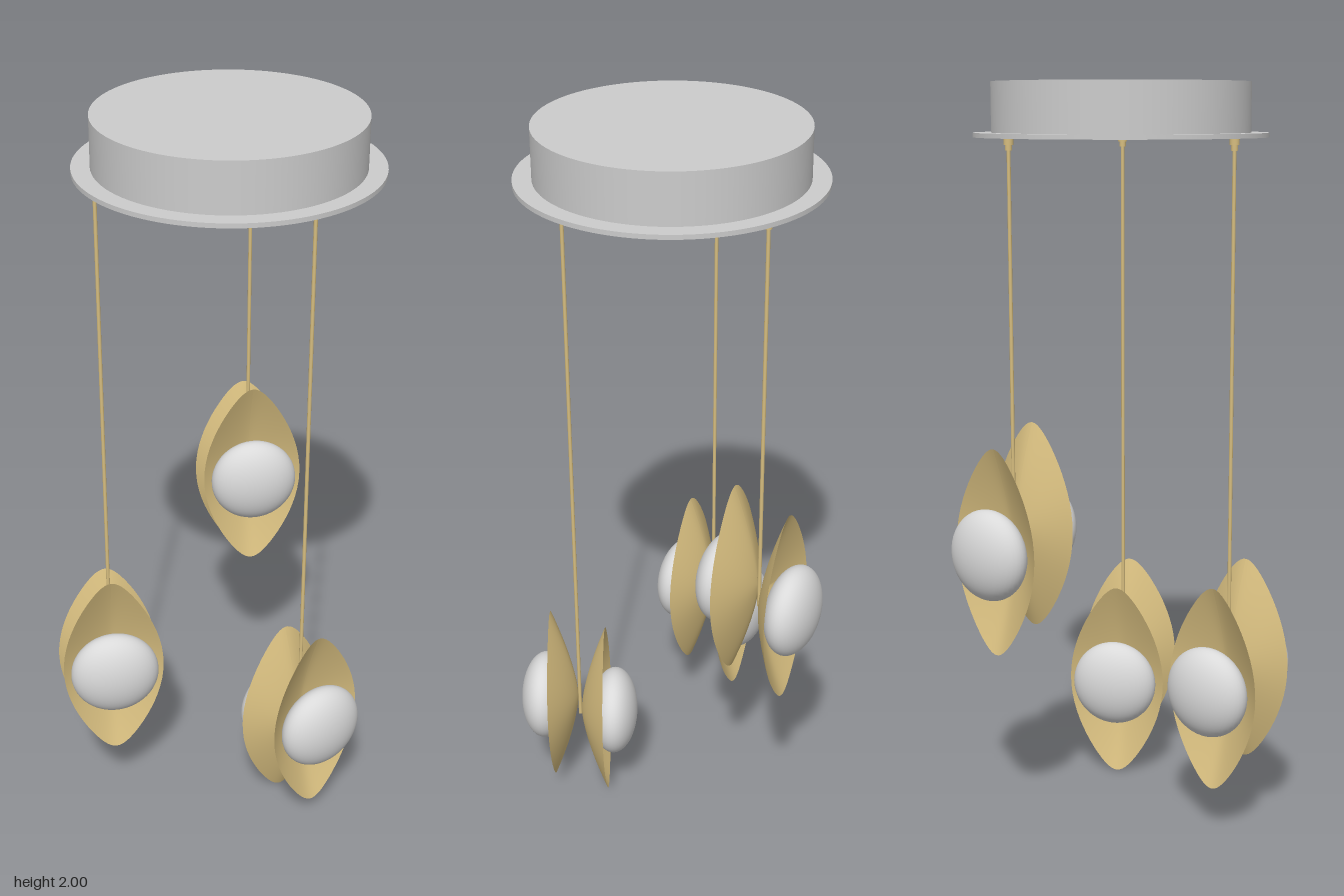
import * as THREE from 'three';

const metal = new THREE.MeshStandardMaterial({ color: 0xcccccc });
metal.name = 'canopyGrey';
const glass = new THREE.MeshStandardMaterial({ color: 0xd9d9d9 });
glass.name = 'lampWhite';
const gold = new THREE.MeshStandardMaterial({ color: 0xd6bd7f, side: THREE.DoubleSide });
gold.name = 'satinGold';

function add(parent, name, geometry, material, x = 0, y = 0, z = 0) {
  const mesh = new THREE.Mesh(geometry, material);
  mesh.name = name;
  mesh.position.set(x, y, z);
  parent.add(mesh);
  return mesh;
}

// Leaf-shaped dish: concentric leaf outlines rising towards +z
function leafDish(halfWidth, halfHeight, depth, rings = 14, segments = 64) {
  const pos = [], index = [];
  for (let i = 0; i <= rings; i++) {
    const s = i / rings;
    for (let j = 0; j <= segments; j++) {
      const a = (j / segments) * Math.PI * 2;
      const c = Math.cos(a);
      pos.push(
        halfWidth * s * Math.sin(a) * (1 - 0.37 * c * c),
        halfHeight * s * c,
        depth * Math.pow(s, 1.5)
      );
      if (i < rings && j < segments) {
        const p = i * (segments + 1) + j, q = p + segments + 1;
        if (i > 0) index.push(p, p + 1, q);
        index.push(p + 1, q + 1, q);
      }
    }
  }
  // Wind the faces so the hollow side is the front
  for (let k = 0; k < index.length; k += 3) {
    [index[k + 1], index[k + 2]] = [index[k + 2], index[k + 1]];
  }
  const g = new THREE.BufferGeometry();
  g.setAttribute('position', new THREE.Float32BufferAttribute(pos, 3));
  g.setIndex(index);
  g.computeVertexNormals();
  return g;
}

const dishGeometry = leafDish(0.14, 0.28, 0.072);
const bulbGeometry = new THREE.SphereGeometry(0.122, 40, 28).scale(1, 1, 0.54);
const holderGeometry = new THREE.CylinderGeometry(0.11, 0.05, 0.06, 40).rotateX(Math.PI / 2);

// One dish with its flattened lamp, facing +z
function lampHalf(name) {
  const half = new THREE.Group();
  half.name = name;
  add(half, 'leafShade', dishGeometry, gold, 0, 0, 0.004);
  add(half, 'lampHolder', holderGeometry, gold, 0, 0, 0.052);
  add(half, 'lampGlobe', bulbGeometry, glass, 0, 0, 0.098);
  return half;
}

export function createModel() {
  const model = new THREE.Group();
  model.name = 'pendantLight';

  // Ceiling canopy
  const cx = 0.05, cz = 0.022;
  add(model, 'canopyDrum', new THREE.CylinderGeometry(0.342, 0.342, 0.132, 96), metal, cx, 1.934, cz);
  add(model, 'canopyPlate', new THREE.CylinderGeometry(0.39, 0.39, 0.012, 96), metal, cx, 1.863, cz);

  // Pendants: cord position, height of the middle, turn about the cord
  const pendants = [
    { name: 'middlePendant', x: -0.29, z: 0, y: 0.435, yaw: -0.17 },
    { name: 'frontPendant', x: 0.18, z: 0.265, y: 0.308, yaw: 0.24 },
    { name: 'backPendant', x: 0.22, z: -0.263, y: 0.808, yaw: -0.18 },
  ];
  for (const { name, x, y, z, yaw } of pendants) {
    const pendant = new THREE.Group();
    pendant.name = name;
    pendant.position.set(x, 0, z);
    model.add(pendant);

    // Cord and its ceiling fitting
    const top = 1.858, bottom = y - 0.04;
    add(pendant, 'cord', new THREE.CylinderGeometry(0.005, 0.005, top - bottom, 12), gold, 0, (top + bottom) / 2, 0);
    add(pendant, 'cordCup', new THREE.CylinderGeometry(0.013, 0.013, 0.018, 20), gold, 0, 1.849, 0);
    add(pendant, 'cordGrip', new THREE.CylinderGeometry(0.009, 0.009, 0.014, 20), gold, 0, 1.833, 0);

    // Two dishes back to back, the rear one slightly lower
    const pair = new THREE.Group();
    pair.name = 'shadePair';
    pair.position.y = y;
    pair.rotation.y = yaw;
    pendant.add(pair);
    const front = lampHalf('frontShade');
    front.position.y = 0.025;
    const rear = lampHalf('rearShade');
    rear.position.y = -0.025;
    rear.rotation.y = Math.PI;
    pair.add(front, rear);
  }
  return model;
}
